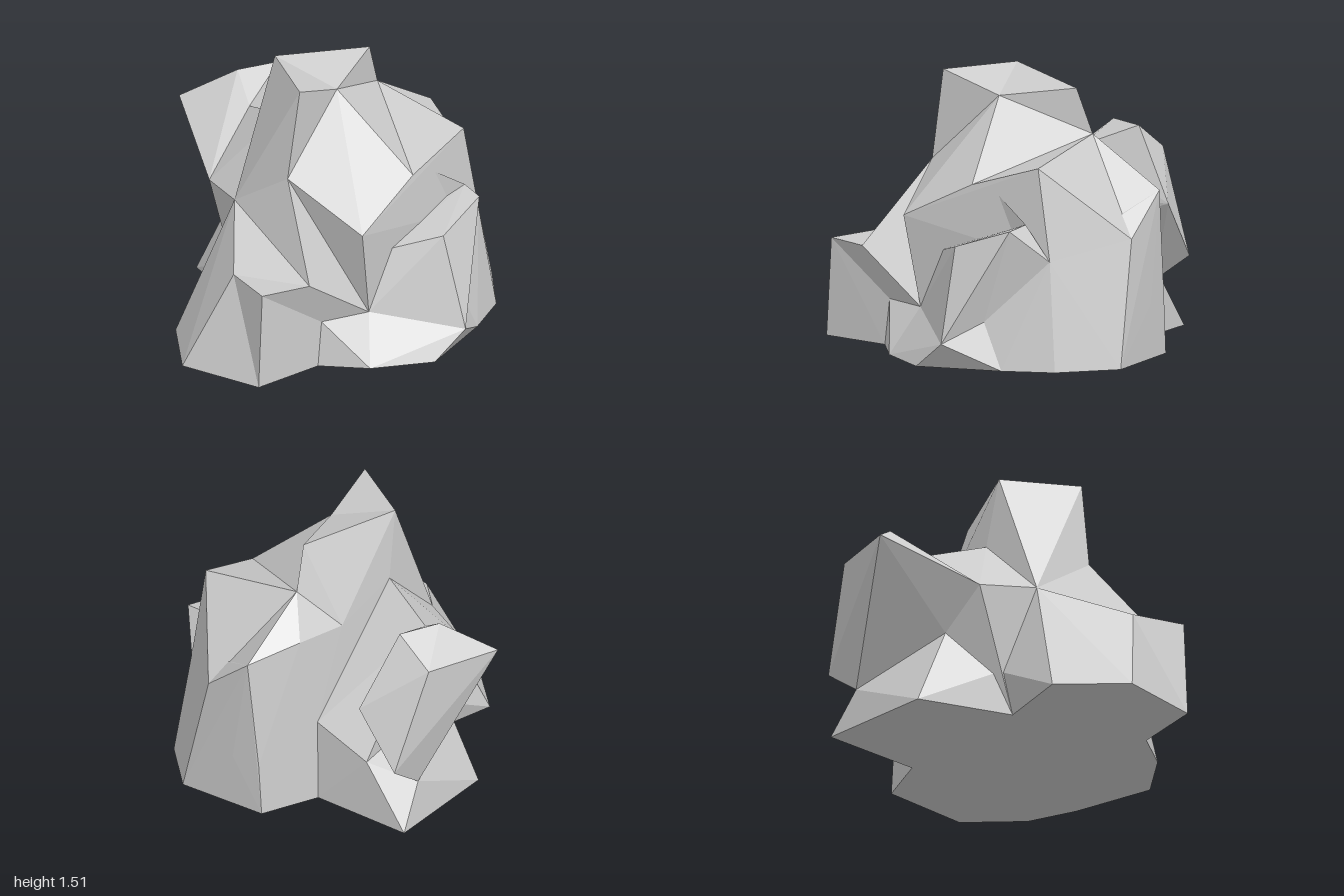
import * as THREE from 'three';
import { ConvexGeometry } from 'three/addons/geometries/ConvexGeometry.js';

// Corners shared by neighbouring chunks of the boulder
const peakLeft = [-0.21, 1.51, 0.05], ridge = [0.16, 1.39, -0.04], saddle = [0.02, 1.2, -0.55];
const brow = [0.16, 1.0, 0.38], browLeft = [-0.23, 0.74, 0.37];
const towerLeft = [-0.23, 1.12, -0.03], towerBack = [-0.18, 0.98, -0.4];
const shoulderMid = [0.63, 0.98, -0.13], shoulderBack = [0.64, 1.11, -0.55];
const shoulderFront = [0.63, 0.77, 0.3];
const ledgeInner = [0.11, 0.55, 0.78], ledgeCorner = [0.4, 0.55, 0.88], ledgeSide = [0.52, 0.55, 0.62];
const toe = [-0.09, 0, 0.98], toeCorner = [0.4, 0, 0.91];
const notch = [0.6, 0.26, 0.21], notchFront = [0.48, 0.26, 0.47], notchFoot = [0.48, 0, 0.5];
const lobeFoot = [0.72, 0, 0.34], lobeSide = [0.94, 0, 0.05], lobeTip = [1, 0.15, -0.14];
const lobeTop = [0.82, 0.78, -0.47], lobeDip = [0.82, 0.26, -0.31], lobeHeel = [0.84, 0, -0.43];
const lobeInner = [0.63, 0.73, -0.32], lobeBack = [0.69, 0.8, -0.5];
const rightNook = [0.67, 0.6, -0.64], rightHeel = [0.74, 0, -0.71];
const backLeft = [-0.12, 1.0, -0.71], backTop = [0.04, 0.93, -0.98], backRight = [0.32, 0.7, -0.96];
const valley = [-0.18, 0.47, -0.63], valleyFoot = [-0.2, 0, -0.65];
const hollow = [-0.35, 0.25, 0.2], hollowFoot = [-0.28, 0, 0.23];
const wingTop = [-0.57, 1.0, -0.16], wingFront = [-0.53, 0.71, 0.23];
const wingUnder = [-0.57, 0.48, 0], wingRoot = [-0.77, 0.24, -0.5];
const backLow = [-0.53, 0.35, -0.65];
const inner = [0.1, 0.4, 0];

// Each chunk is the faceted hull of its corners; chunks meet along the creases
const chunks = {
  // Central tower, with a crease across its top
  towerFront: [peakLeft, [0.18, 1.51, 0.3], ridge, brow, browLeft, towerLeft, towerBack],
  towerRear: [peakLeft, ridge, [0.04, 1.45, -0.46], saddle, towerBack, towerLeft, valley, inner],
  // Sloping front and its ledge
  frontSlopeUpper: [brow, browLeft, ledgeSide, notch, hollow, inner],
  frontSlopeLower: [
    browLeft, ledgeInner, ledgeSide, toe, [-0.4, 0, 0.67], hollow, hollowFoot, [0.3, 0, 0.3], inner,
  ],
  frontFoot: [ledgeInner, toe, toeCorner, notchFoot, hollowFoot],
  frontCorner: [ledgeInner, ledgeCorner, toeCorner, notchFront, notchFoot, inner],
  frontLedge: [ledgeInner, ledgeCorner, ledgeSide, notchFront, notch, inner],
  // Right shoulder, folded along the line from saddle to middle
  rightShoulderFront: [
    brow, ridge, saddle, shoulderMid, shoulderFront, notch, [0.6, 0.2, -0.4], inner,
  ],
  rightShoulderRear: [
    saddle, shoulderMid, shoulderBack, shoulderFront, rightNook, notch, [0.6, 0, -0.5], inner,
  ],
  // Back of the boulder
  backSlopeLeft: [saddle, backLeft, backTop, backRight, towerBack, valley, inner],
  backSlopeRight: [saddle, backRight, shoulderBack, rightNook, inner],
  backFoot: [
    backLeft, backTop, backRight, rightNook, rightHeel, [0.48, 0, -0.98], [-0.05, 0, -0.97],
    [-0.03, 0.3, -0.97], [0.14, 0.31, -0.98], valley, valleyFoot,
  ],
  // Right lobe with its low band, toe, heel and small inner spur
  rightLobe: [
    notch, lobeTip, [0.84, 0.67, -0.14], lobeTop, lobeBack, lobeInner, [0.63, 0.6, 0.05],
    lobeDip, [0.6, 0.2, -0.1],
  ],
  rightLobeBack: [lobeTop, lobeBack, lobeDip, rightNook, [0.6, 0.4, -0.4]],
  rightBand: [notch, lobeTip, lobeSide, lobeFoot, lobeDip, lobeHeel, [0.6, 0, 0]],
  rightToe: [notchFoot, notchFront, notch, lobeFoot, [0.6, 0, 0]],
  rightHeel: [rightNook, rightHeel, lobeDip, lobeHeel, [0.5, 0, -0.3], [0.5, 0.5, -0.5]],
  rightSpur: [[0.64, 0.94, -0.3], lobeInner, lobeBack, [0.58, 0.7, -0.4]],
  // Left side
  leftWing: [
    [-1, 0.96, -0.07], [-0.74, 1.13, -0.26], [-0.63, 1.13, -0.48], wingTop, wingFront,
    [-0.85, 0.98, -0.51], [-0.77, 0.4, -0.72], [-0.53, 0.73, -0.72], wingRoot, wingUnder,
  ],
  leftShoulder: [
    wingTop, towerLeft, browLeft, wingFront, wingUnder, hollow, backLow, valley, hollowFoot, valleyFoot,
  ],
  leftFoot: [
    [-0.8, 0, 0.02], [-0.55, 0, 0.07], [-0.8, 0, -0.67], valleyFoot, wingRoot, wingUnder,
    hollow, hollowFoot, backLow, valley,
  ],
  core: [hollowFoot, notchFoot, lobeFoot, lobeSide, lobeHeel, rightHeel, valleyFoot, inner],
};

export function createModel() {
  const boulder = new THREE.Group();
  boulder.name = 'boulder';
  const stone = new THREE.MeshStandardMaterial({ color: 0xcccccc, flatShading: true });
  for (const [name, corners] of Object.entries(chunks)) {
    const points = corners.map((c) => new THREE.Vector3(...c));
    const mesh = new THREE.Mesh(new ConvexGeometry(points), stone);
    mesh.name = name;
    boulder.add(mesh);
  }
  return boulder;
}
